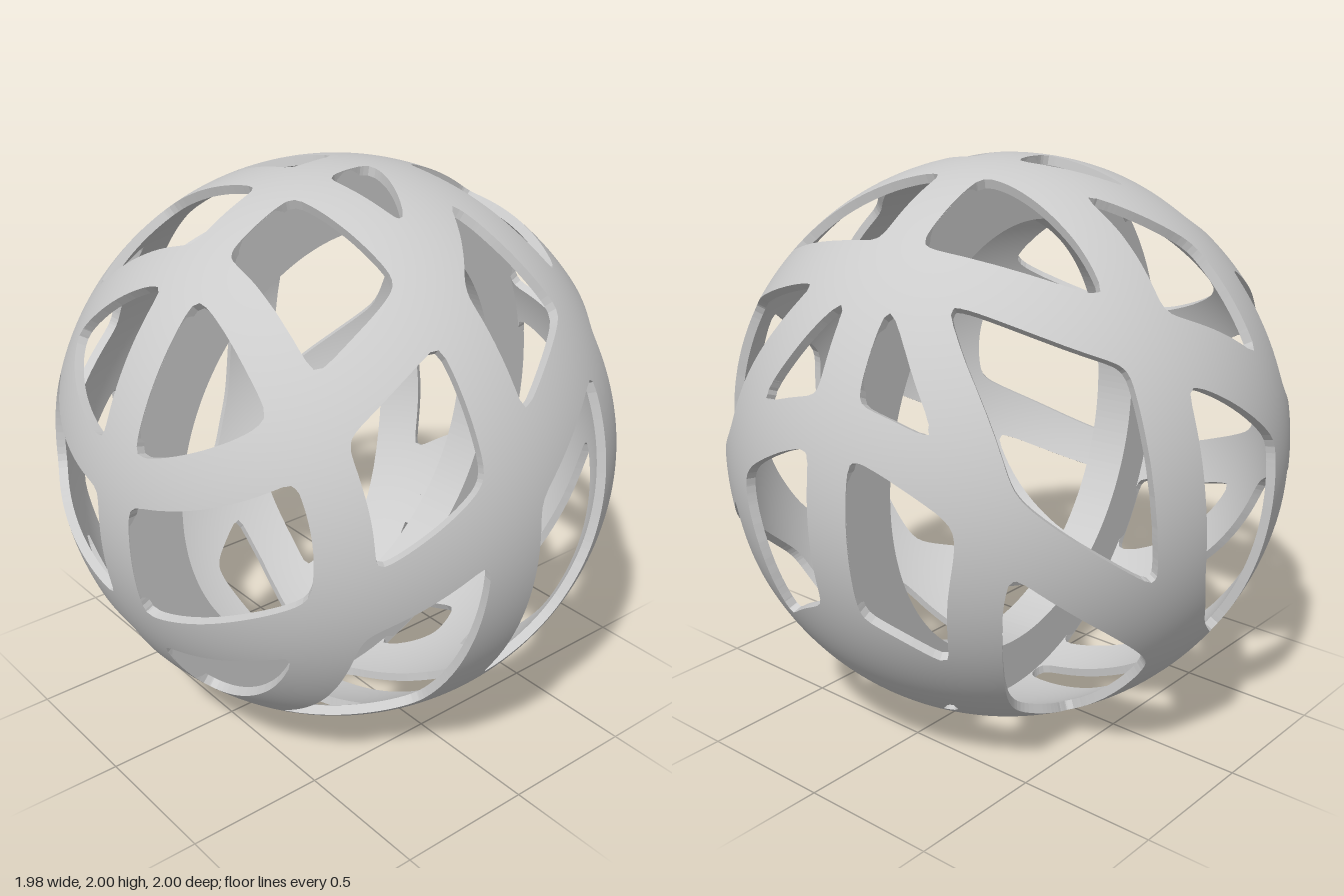
import * as THREE from 'three';
import { mergeVertices } from 'three/addons/utils/BufferGeometryUtils.js';

const OUTER = 1, INNER = 0.968;   // thin shell radii
const RING_INNER = 0.78;          // the upright ring is much deeper
const RING_HALF = 0.077;
const FILLET = 0.02;

// Each band leaves the mirror plane at angle "from" (degrees, +z towards +y), passes
// the [y, z] points on the side of the unit sphere and returns to the plane at "to".
const slopingBands = [
  { from: 11.5, side: [[.35, .81], [.6, .5], [.8, .16]], to: 100 },
  { from: -21.7, side: [[-.25, .83], [.1, .33], [.42, -.1], [.61, -.5]], to: 132 },
  { from: 162.5, side: [[.18, -.91], [-.04, -.78], [-.36, -.42], [-.7, .08], [-.8, .4]], to: -50 },
  { from: 203, side: [[-.58, -.757], [-.77, -.56], [-.91, -.26]], to: 267 },
];
const steepBands = [
  { from: 78.5, side: [[.7, .195], [0, .19], [-.7, .195]], to: -78.5 },
  { from: 52, side: [[.58, .68], [.1, .69], [-.55, .68]], to: -50 },
  { from: 100, side: [[.83, -.26], [.4, -.4], [-.2, -.375], [-.5, -.25], [-.82, -.19]], to: -93.5 },
  { from: 132, side: [[.46, -.827], [.1, -.865], [-.26, -.855], [-.66, -.67], [-.8, -.54]], to: -120 },
];

// Point of the mirror plane at an angle in degrees.
function onPlane(degrees) {
  const a = THREE.MathUtils.degToRad(degrees);
  return new THREE.Vector3(0, Math.sin(a), Math.cos(a));
}

// Closed centre line of a band, mirrored in x.
function sampleBand({ from, side, to }) {
  const left = side.map(([y, z]) => new THREE.Vector3(Math.sqrt(1 - y * y - z * z), y, z));
  const right = left.map(p => new THREE.Vector3(-p.x, p.y, p.z)).reverse();
  const curve = new THREE.CatmullRomCurve3([onPlane(from), ...left, onPlane(to), ...right], true);
  return curve.getSpacedPoints(240).map(p => p.normalize());
}

// Negative on a band, positive in an opening; a smooth union rounds the corners.
function makeField() {
  const bands = [
    ...slopingBands.map(b => ({ line: sampleBand(b), widening: 0.038 })),
    ...steepBands.map(b => ({ line: sampleBand(b), widening: 0.024 })),
  ];
  const patch = onPlane(223);   // solid area low on the back
  return p => {
    const side = Math.abs(p.x);
    let sum = Math.exp((RING_HALF - side) / FILLET) + Math.exp((0.21 - p.distanceTo(patch)) / FILLET);
    for (const { line, widening } of bands) {
      let d = Infinity;
      for (const q of line) d = Math.min(d, p.distanceToSquared(q));
      sum += Math.exp((0.074 + widening * side - Math.sqrt(d)) / FILLET);
    }
    return -FILLET * Math.log(sum);
  };
}

// Sphere clipped along the zero line of the field, with inside and edge walls.
function shellGeometry() {
  let ball = new THREE.IcosahedronGeometry(1, 42);
  ball.deleteAttribute('normal');
  ball.deleteAttribute('uv');
  ball = mergeVertices(ball, 1e-5);
  const field = makeField();
  const verts = [], values = [];
  for (let i = 0; i < ball.attributes.position.count; i++) {
    const v = new THREE.Vector3().fromBufferAttribute(ball.attributes.position, i).normalize();
    verts.push(v);
    values.push(field(v));
  }
  const positions = [], normals = [];
  const put = (p, r, n, s = 1) => {
    positions.push(p.x * r, p.y * r, p.z * r);
    normals.push(n.x * s, n.y * s, n.z * s);
  };
  const index = ball.index.array;
  for (let t = 0; t < index.length; t += 3) {
    const poly = [];
    let leave = null, enter = null;
    for (let k = 0; k < 3; k++) {
      const i = index[t + k], j = index[t + (k + 1) % 3];
      if (values[i] < 0) poly.push(verts[i]);
      if ((values[i] < 0) !== (values[j] < 0)) {
        const cut = verts[i].clone().lerp(verts[j], values[i] / (values[i] - values[j])).normalize();
        poly.push(cut);
        if (values[i] < 0) leave = cut; else enter = cut;
      }
    }
    for (let k = 1; k + 1 < poly.length; k++) {
      const tri = [poly[0], poly[k], poly[k + 1]];
      tri.forEach(p => put(p, OUTER, p));
      tri.reverse().forEach(p => put(p, INNER, p, -1));
    }
    if (leave && enter) {
      const n = enter.clone().sub(leave).cross(leave).normalize();
      put(enter, OUTER, n);
      put(leave, OUTER, n);
      put(leave, INNER, n);
      put(enter, OUTER, n);
      put(leave, INNER, n);
      put(enter, INNER, n);
    }
  }
  const geometry = new THREE.BufferGeometry();
  geometry.setAttribute('position', new THREE.Float32BufferAttribute(positions, 3));
  geometry.setAttribute('normal', new THREE.Float32BufferAttribute(normals, 3));
  return geometry;
}

// Deep upright ring in the mirror plane.
function ringGeometry() {
  const shape = new THREE.Shape();
  shape.absarc(0, 0, 0.994, 0, Math.PI * 2);
  const hole = new THREE.Path();
  hole.absarc(0, 0, RING_INNER, 0, Math.PI * 2, true);
  shape.holes.push(hole);
  const geometry = new THREE.ExtrudeGeometry(shape, { depth: RING_HALF * 2, bevelEnabled: false, curveSegments: 96 });
  geometry.translate(0, 0, -RING_HALF);
  geometry.rotateY(Math.PI / 2);
  return geometry;
}

export function createModel() {
  const material = new THREE.MeshStandardMaterial({ color: 0xcccccc });
  const sphere = new THREE.Group();
  sphere.name = 'openworkSphere';
  const add = (name, geometry) => {
    const mesh = new THREE.Mesh(geometry, material);
    mesh.name = name;
    sphere.add(mesh);
  };
  add('bandedShell', shellGeometry());
  add('uprightRing', ringGeometry());
  sphere.position.y = 1;
  sphere.rotation.y = 0.11;
  const model = new THREE.Group();
  model.add(sphere);
  return model;
}
